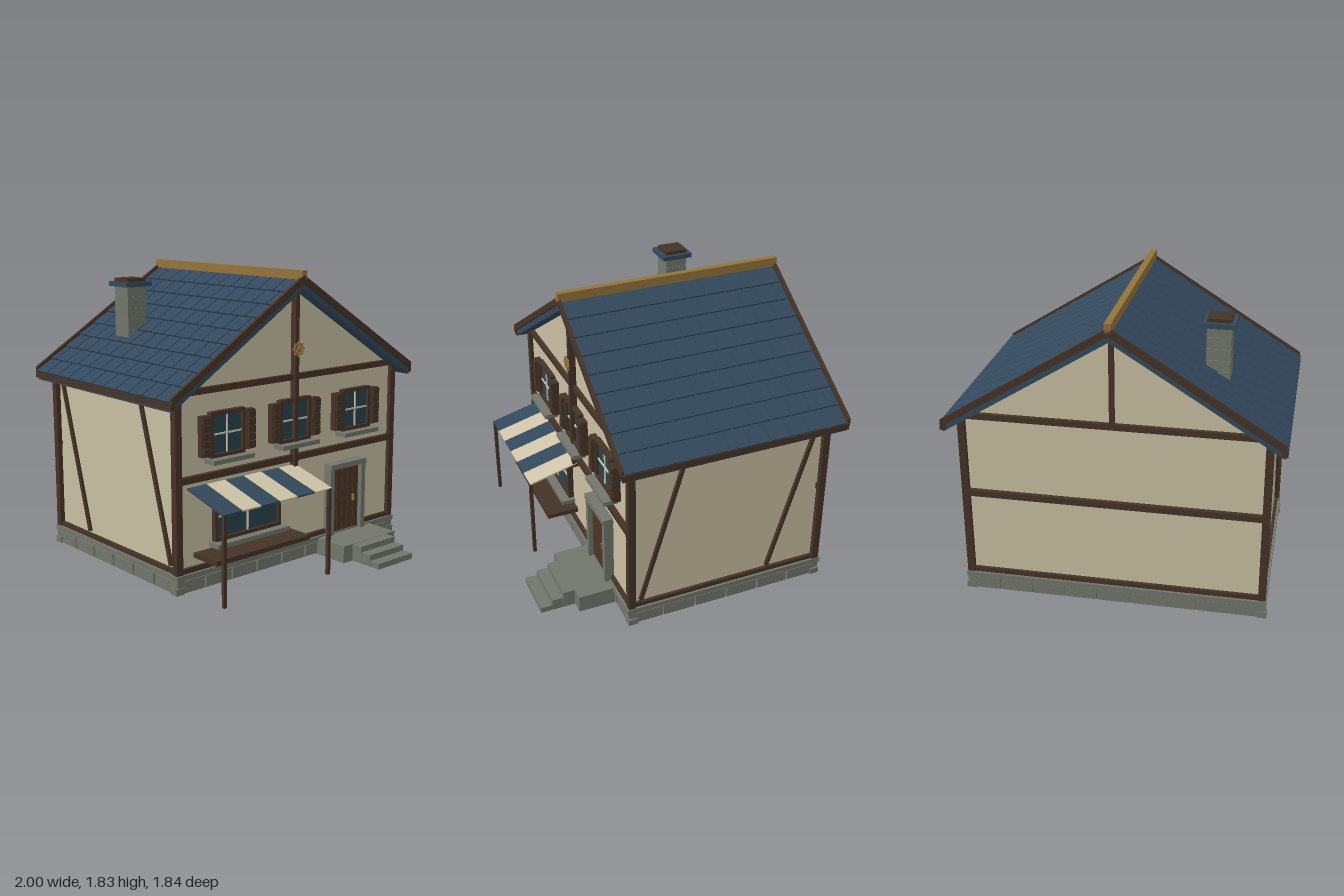
import * as THREE from 'three';

const WALL = 0xc9bfa2, WOOD = 0x453326, STONE = 0x72766b, ROOF = 0x33485c, GOLD = 0x94733a,
  GLASS = 0x27434d, CREAM = 0xcfc4a8, DOOR = 0x4d3626;
const SLOPE = 0.626, ANGLE = Math.atan(SLOPE);
const ZF = 0.44, ZB = -0.82, ZC = (ZF + ZB) / 2; // front wall, back wall, centre

const mats = {};
const mat = c => mats[c] ??= new THREE.MeshStandardMaterial({ color: c, flatShading: true });

function add(parent, name, geo, color) {
  const m = new THREE.Mesh(geo, mat(color));
  m.name = name;
  parent.add(m);
  return m;
}

// Box given by its ranges
function box(parent, name, color, x0, x1, y0, y1, z0, z1) {
  const m = add(parent, name, new THREE.BoxGeometry(x1 - x0, y1 - y0, z1 - z0), color);
  m.position.set((x0 + x1) / 2, (y0 + y1) / 2, (z0 + z1) / 2);
  return m;
}

function group(parent, name) {
  const g = new THREE.Group();
  g.name = name;
  parent.add(g);
  return g;
}

// Outline in x, y pushed from z0 to z1
function prism(parent, name, color, pts, z0, z1) {
  const shape = new THREE.Shape(pts.map(p => new THREE.Vector2(...p)));
  const geo = new THREE.ExtrudeGeometry(shape, { depth: z1 - z0, bevelEnabled: false });
  return add(parent, name, geo.translate(0, 0, z0), color);
}

// Gable-shaped band: both roof slopes in one piece
function chevron(parent, name, color, top, bottom, w, z0, z1) {
  const d = w * SLOPE;
  prism(parent, name, color,
    [[-w, bottom - d], [0, bottom], [w, bottom - d], [w, top - d], [0, top], [-w, top - d]], z0, z1);
}

function buildFoundation(house) {
  const g = group(house, 'foundation');
  box(g, 'foundationCore', STONE, -0.9, 0.9, 0, 0.1, ZB - 0.01, ZF + 0.01);
  box(g, 'foundationCap', STONE, -0.925, 0.925, 0.088, 0.12, -0.855, 0.475);
  const nx = 9, nz = 6, gap = 0.006;
  for (let i = 0; i < nx; i++) {
    const x = -0.915 + i * 1.83 / nx;
    for (const [z0, z1] of [[ZF, 0.465], [-0.845, ZB]])
      box(g, 'foundationStone', STONE, x + gap, x + 1.83 / nx - gap, 0.008, 0.08, z0, z1);
  }
  for (let i = 0; i < nz; i++) {
    const z = -0.835 + i * 1.29 / nz;
    for (const s of [-1, 1])
      box(g, 'foundationStone', STONE, s * 0.905 - 0.015, s * 0.905 + 0.015, 0.008, 0.08, z + gap, z + 1.29 / nz - gap);
  }
  // Corner stones in two courses
  for (const s of [-1, 1]) for (const z of [-0.82, 0.44]) {
    box(g, 'cornerStone', STONE, s * 0.9 - 0.03, s * 0.9 + 0.03, 0.005, 0.045, z - 0.03, z + 0.03);
    box(g, 'cornerStone', STONE, s * 0.895 - 0.026, s * 0.895 + 0.026, 0.05, 0.086, z - 0.026, z + 0.026);
  }
}

function buildTimbers(house) {
  const g = group(house, 'timberFrame');
  for (const s of [-1, 1]) {
    for (const z of [-0.8225, 0.4425])
      box(g, 'cornerPost', WOOD, s * 0.8975 - 0.0225, s * 0.8975 + 0.0225, 0.12, 1.17, z - 0.0225, z + 0.0225);
    box(g, 'sideSill', WOOD, s * 0.89 - 0.02, s * 0.89 + 0.02, 0.12, 0.148, ZB, ZF);
    for (const z of [0.24, -0.615]) {
      const brace = add(g, 'diagonalBrace', new THREE.BoxGeometry(0.03, 0.99, 0.025), WOOD);
      brace.position.set(s * 0.893, 0.635, z);
      brace.rotation.x = Math.atan2(-0.28, 0.95);
    }
  }
  // Crossbeams on both gable ends
  for (const z of [ZF, ZB]) {
    box(g, 'sillBeam', WOOD, -0.89, 0.89, 0.12, 0.15, z - 0.02, z + 0.02);
    box(g, 'middleBeam', WOOD, -0.89, 0.89, 0.655, 0.695, z - 0.028, z + 0.028);
    box(g, 'gableBeam', WOOD, -0.9, 0.9, 1.163, 1.2, z - 0.025, z + 0.025);
  }
  box(g, 'frontCentrePost', WOOD, -0.015, 0.015, 0.6, 1.73, ZF, 0.483);
  box(g, 'backGablePost', WOOD, -0.015, 0.015, 1.2, 1.73, -0.842, ZB);
}

function buildRoof(house) {
  const g = group(house, 'roof');
  chevron(g, 'roofSlab', ROOF, 1.766, 1.715, 0.985, -0.905, 0.525);
  chevron(g, 'frontBargeBoard', WOOD, 1.802, 1.755, 0.993, 0.518, 0.538);
  chevron(g, 'backBargeBoard', WOOD, 1.802, 1.755, 0.993, -0.922, -0.902);
  box(g, 'ridgeBeam', GOLD, -0.02, 0.02, 1.775, 1.83, -0.922, 0.538);
  for (const s of [-1, 1])
    box(g, 'eavesBoard', WOOD, s * 0.983 - 0.017, s * 0.983 + 0.017, 1.113, 1.153, -0.912, 0.532);
  // Staggered tiles; each slope is laid along its own x axis
  const rows = 9, cols = 11, z0 = -0.709, pitch = 1.418 / cols, step = 1.165 / rows;
  for (const turn of [0, Math.PI]) {
    const side = group(g, 'tiledSlope');
    side.position.set(0, 1.766, ZC);
    side.rotation.set(0, turn, -ANGLE, 'YXZ');
    for (let r = 0; r < rows; r++) for (let c = 0; c <= cols; c++) {
      const start = z0 + (c - (r % 2) / 2) * pitch;
      const a = Math.max(start, z0) + 0.004, b = Math.min(start + pitch, -z0) - 0.004;
      if (b - a < 0.02) continue;
      const tile = box(side, 'roofTile', ROOF, r * step + 0.008, (r + 1) * step + 0.004, 0, 0.014, a, b);
      tile.rotation.z = 0.05;
      tile.position.y = 0.009;
    }
  }
}

function buildChimney(house) {
  const g = group(house, 'chimney');
  g.position.set(-0.56, 0, -0.46);
  box(g, 'chimneyStack', STONE, -0.066, 0.066, 1.32, 1.71, -0.066, 0.066);
  for (let i = 0; i < 5; i++)
    box(g, 'chimneyCourse', STONE, -0.071, 0.071, 1.37 + i * 0.07, 1.434 + i * 0.07, -0.071, 0.071);
  box(g, 'chimneyCap', ROOF, -0.095, 0.095, 1.706, 1.735, -0.1, 0.1);
  box(g, 'chimneyLid', WOOD, -0.07, 0.07, 1.735, 1.757, -0.073, 0.073);
}

// Glass, frame, glazing bars and stone sill around (x, y)
function buildWindow(house, x, y, hw, hh, shutters) {
  const g = group(house, 'window');
  g.position.set(x, y, ZF);
  box(g, 'glass', GLASS, -hw, hw, -hh, hh, 0, 0.016);
  for (const s of [-1, 1]) {
    box(g, 'frameSide', WOOD, s * hw - 0.011, s * hw + 0.011, -hh - 0.01, hh + 0.01, 0, 0.035);
    box(g, 'frameRail', WOOD, -hw, hw, s * hh - 0.011, s * hh + 0.011, 0, 0.035);
  }
  box(g, 'uprightBar', CREAM, -0.005, 0.005, -hh, hh, 0.01, 0.024);
  box(g, 'crossBar', CREAM, -hw, hw, -0.005, 0.005, 0.01, 0.024);
  box(g, 'windowSill', STONE, -hw - 0.035, hw + 0.035, -hh - 0.038, -hh - 0.011, 0, 0.09);
  if (!shutters) return;
  for (const s of [-1, 1]) {
    const sh = group(g, 'shutter');
    sh.position.x = s * 0.17;
    box(sh, 'shutterPanel', WOOD, -0.031, 0.031, -0.12, 0.12, 0, 0.04);
    for (let i = 0; i < 5; i++)
      box(sh, 'shutterSlat', WOOD, -0.026, 0.026, -0.113 + i * 0.046, -0.071 + i * 0.046, 0.03, 0.052);
  }
}

function buildDoor(house) {
  const g = group(house, 'door');
  g.position.set(0.45, 0, ZF);
  for (let i = 0; i < 5; i++)
    box(g, 'doorPlank', DOOR, -0.125 + i * 0.05 + 0.002, -0.075 + i * 0.05 - 0.002, 0.12, 0.548, 0, 0.03);
  box(g, 'doorBacking', WOOD, -0.125, 0.125, 0.12, 0.548, 0, 0.02);
  for (const s of [-1, 1])
    box(g, 'doorJamb', STONE, s * 0.142 - 0.018, s * 0.142 + 0.018, 0.11, 0.548, 0, 0.06);
  box(g, 'doorLintel', STONE, -0.162, 0.162, 0.546, 0.58, 0, 0.067);
  box(g, 'doorHandle', GOLD, 0.064, 0.076, 0.305, 0.345, 0.025, 0.048);
  const steps = group(house, 'steps');
  box(steps, 'landing', STONE, 0.21, 0.685, 0, 0.11, ZF, 0.7);
  [[0.7, 0.776, 0.108], [0.776, 0.85, 0.072], [0.85, 0.925, 0.036]].forEach(([a, b, h]) =>
    box(steps, 'step', STONE, 0.29, 0.605, 0, h, a - 0.001, b - 0.003));
}

function buildAwning(house) {
  const g = group(house, 'awning');
  const len = Math.hypot(0.32, 0.085), w = 0.85 / 6;
  for (let i = 0; i < 6; i++) {
    const stripe = add(g, 'awningStripe', new THREE.BoxGeometry(w, 0.01, len), i % 2 ? CREAM : ROOF);
    stripe.position.set(-0.835 + (i + 0.5) * w, 0.583, 0.615);
    stripe.rotation.x = Math.atan2(0.085, 0.32);
  }
  for (const x of [-0.82, 0])
    box(g, 'awningPost', WOOD, x - 0.011, x + 0.011, 0, 0.542, 0.757, 0.778);
  box(house, 'counterShelf', WOOD, -0.78, -0.04, 0.2, 0.229, ZF, 0.65);
}

function buildWheelOrnament(house) {
  const g = group(house, 'wheelOrnament');
  g.position.set(0, 1.355, 0.492);
  add(g, 'wheelRim', new THREE.TorusGeometry(0.034, 0.006, 6, 20), GOLD);
  add(g, 'wheelHub', new THREE.CylinderGeometry(0.012, 0.012, 0.024, 10).rotateX(Math.PI / 2), GOLD);
  for (let i = 0; i < 4; i++)
    add(g, 'wheelSpoke', new THREE.BoxGeometry(0.096, 0.007, 0.008), GOLD).rotation.z = i * Math.PI / 4;
}

export function createModel() {
  const house = new THREE.Group();
  house.name = 'timberFramedShop';
  prism(house, 'walls', WALL, [[-0.89, 0.1], [0.89, 0.1], [0.89, 1.17], [0, 1.727], [-0.89, 1.17]], ZB, ZF);
  buildFoundation(house);
  buildTimbers(house);
  buildRoof(house);
  buildChimney(house);
  for (const x of [-0.54, 0, 0.54]) buildWindow(house, x, 0.915, 0.12, 0.125, true);
  buildWindow(house, -0.38, 0.415, 0.25, 0.135, false);
  buildDoor(house);
  buildAwning(house);
  buildWheelOrnament(house);
  return house;
}
